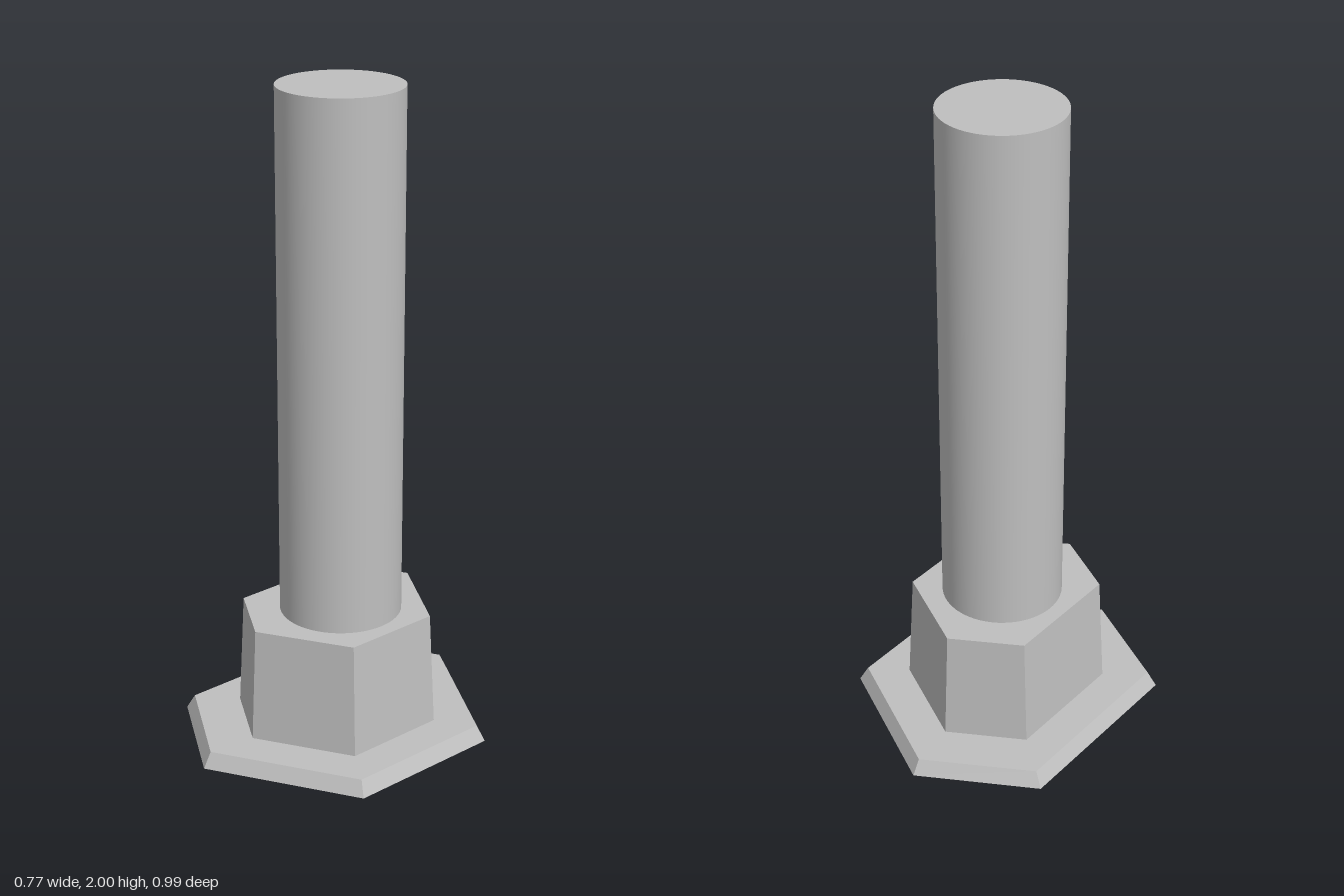
import * as THREE from 'three';

// Closed tapered prism between two [x, z] outlines that run clockwise seen from above
function taperedPrism(lower, upper, y0, y1) {
  const pos = [];
  const lo = lower.map(([x, z]) => [x, y0, z]);
  const hi = upper.map(([x, z]) => [x, y1, z]);
  const tri = (a, b, c) => pos.push(...a, ...b, ...c);
  const n = lo.length;
  for (let i = 0; i < n; i++) {
    const j = (i + 1) % n;
    tri(lo[j], lo[i], hi[i]);
    tri(lo[j], hi[i], hi[j]);
    if (i > 0 && i < n - 1) {
      tri(hi[0], hi[j], hi[i]);
      tri(lo[0], lo[i], lo[j]);
    }
  }
  const g = new THREE.BufferGeometry();
  g.setAttribute('position', new THREE.Float32BufferAttribute(pos, 3));
  g.computeVertexNormals();
  return g;
}

export function createModel() {
  const group = new THREE.Group();
  const steel = new THREE.MeshStandardMaterial({ color: 0xbfbfbf });
  steel.name = 'grey steel';

  const add = (name, geometry) => {
    const mesh = new THREE.Mesh(geometry, steel);
    mesh.name = name;
    group.add(mesh);
    return mesh;
  };

  // Bevelled six-sided foot plate, slightly irregular
  add('footPlate', taperedPrism(
    [[-0.045, -0.494], [0.382, -0.25], [0.382, 0.246], [-0.055, 0.493], [-0.384, 0.305], [-0.384, -0.305]],
    [[-0.046, -0.468], [0.358, -0.237], [0.358, 0.233], [-0.055, 0.467], [-0.358, 0.293], [-0.358, -0.293]],
    0, 0.047));

  // Tapered six-sided collar
  add('collar', taperedPrism(
    [[-0.03, -0.322], [0.247, -0.163], [0.247, 0.16], [-0.035, 0.322], [-0.249, 0.199], [-0.249, -0.199]],
    [[-0.03, -0.305], [0.231, -0.154], [0.231, 0.152], [-0.035, 0.305], [-0.232, 0.191], [-0.232, -0.191]],
    0.047, 0.4));

  // Round shaft
  add('shaft', new THREE.CylinderGeometry(0.184, 0.184, 1.6, 64)).position.y = 1.2;

  return group;
}
